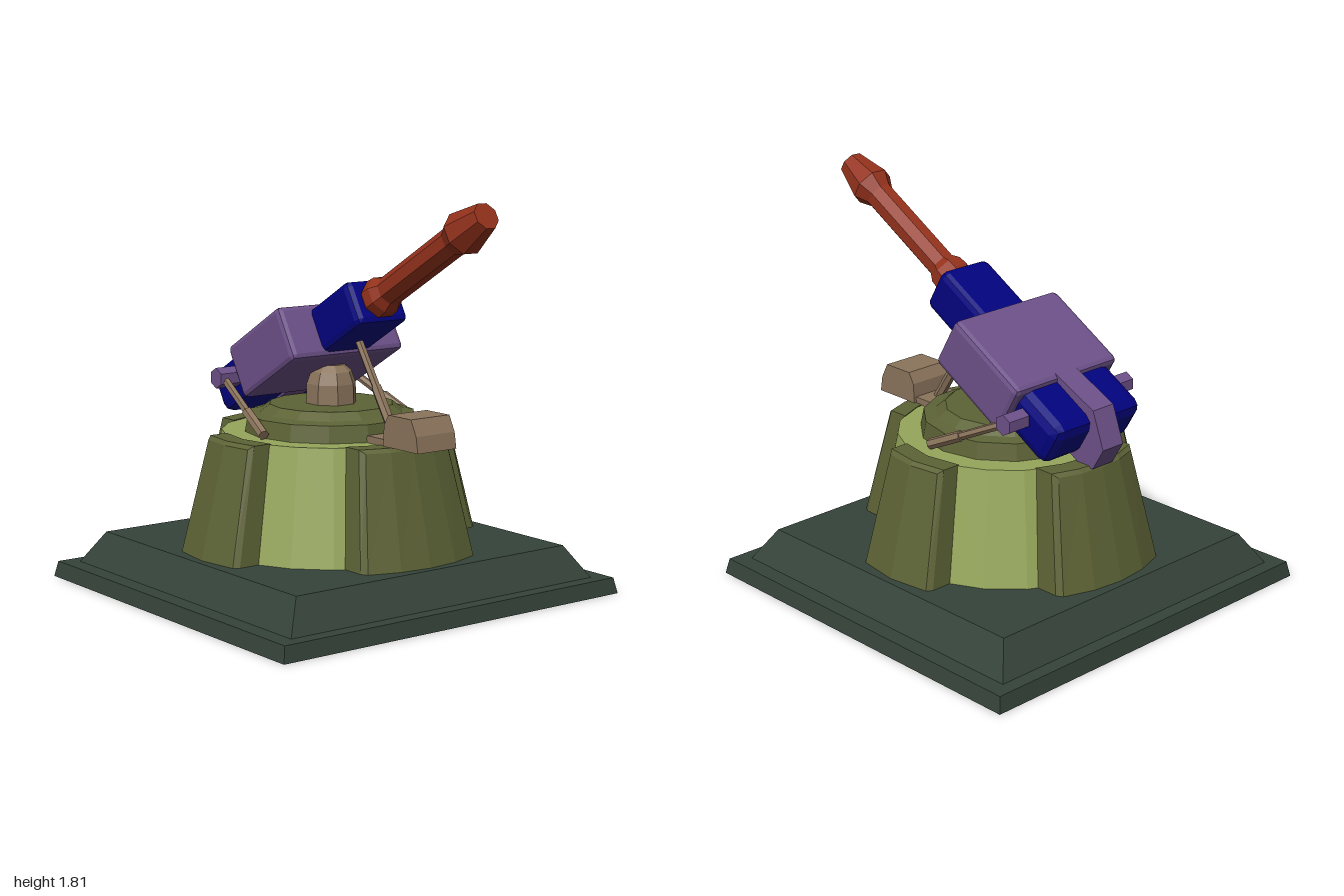
import * as THREE from 'three';
import { RoundedBoxGeometry } from 'three/addons/geometries/RoundedBoxGeometry.js';

const mat = (name, color) => Object.assign(new THREE.MeshStandardMaterial({ color }), { name });
const CX = -0.08; // centre of the base and tower

// Faceted normals baked into the geometry
function flat(geo) {
  const g = geo.index ? geo.toNonIndexed() : geo;
  g.computeVertexNormals();
  return g;
}

// Move every vertex of a geometry by a rule
function reshape(geo, rule) {
  const p = geo.attributes.position, v = new THREE.Vector3();
  for (let i = 0; i < p.count; i++) {
    rule(v.fromBufferAttribute(p, i));
    p.setXYZ(i, v.x, v.y, v.z);
  }
  return geo;
}

// Rectangular slab, open below, tapering from bottom to top half-sizes
function slab(y0, y1, [x0, z0], [x1, z1]) {
  const box = new THREE.BoxGeometry(2, 1, 2);
  box.setIndex([...box.index.array].filter((_, i) => i < 18 || i >= 24));
  return reshape(box, (v) => {
    const top = v.y > 0;
    v.set(v.x * (top ? x1 : x0), top ? y1 : y0, v.z * (top ? z1 : z0));
  });
}

// Thick curved armour plate with straight sides and a bevelled outer edge
const armour = (angle, halfBottom, halfTop, segments) =>
  reshape(new THREE.BoxGeometry(2, 1, 2, segments, 1, 2), (v) => {
    const top = v.y > 0, layer = Math.round(v.z) + 1; // inner, shoulder, outer
    const r = (top ? [0.49, 0.575, 0.592] : [0.57, 0.698, 0.718])[layer];
    const half = (top ? halfTop : halfBottom) - (layer === 2 ? 0.017 : 0);
    const a = angle + v.x * Math.asin(half / r);
    v.set(Math.sin(a) * r, top ? (layer === 2 ? 0.72 : 0.737) : 0.215, Math.cos(a) * r);
  });

const lathe = (pts, sides, phase = 0) =>
  new THREE.LatheGeometry(pts.map(([x, y]) => new THREE.Vector2(x, y)), sides, phase);

// Side profile extruded evenly to both sides of z = 0
function profile(pts, width) {
  const shape = new THREE.Shape(pts.map(([x, y]) => new THREE.Vector2(x, y)));
  return new THREE.ExtrudeGeometry(shape, { depth: width, bevelEnabled: false }).translate(0, 0, -width / 2);
}

// Straight rod between two points
function rod(a, b, radius, sides = 6) {
  const from = new THREE.Vector3(...a), to = new THREE.Vector3(...b);
  const dir = to.clone().sub(from);
  const q = new THREE.Quaternion().setFromUnitVectors(new THREE.Vector3(0, 1, 0), dir.clone().normalize());
  return new THREE.CylinderGeometry(radius, radius, dir.length(), sides)
    .applyQuaternion(q).translate(...from.add(to).multiplyScalar(0.5).toArray());
}

// Chamfered block given by its extents
const block = (x0, x1, y0, y1, halfZ, bevel) =>
  new RoundedBoxGeometry(x1 - x0, y1 - y0, halfZ * 2, 1, bevel).translate((x0 + x1) / 2, (y0 + y1) / 2, 0);

export function createModel() {
  const model = new THREE.Group();
  model.name = 'gunTurret';
  const baseGreen = mat('dark base green', 0x35433a);
  baseGreen.side = THREE.DoubleSide;
  const lightGreen = mat('light green', 0x95a65b);
  const olive = mat('olive', 0x5d6336);
  const tan = mat('tan', 0x8b745c);
  const purple = mat('purple', 0x6d5189);
  const blue = mat('navy blue', 0x020280);
  const red = mat('rust red', 0x94321c);

  const add = (parent, name, geo, material, x = 0) => {
    const m = new THREE.Mesh(flat(geo), material);
    m.name = name;
    m.position.x = x;
    parent.add(m);
  };

  // Square foundation, hollow under the lip
  add(model, 'baseLip', slab(0, 0.072, [0.92, 0.936], [0.905, 0.921]), baseGreen, CX);
  add(model, 'baseSlope', slab(0.072, 0.218, [0.84, 0.842], [0.75, 0.75]), baseGreen, CX);

  // Conical tower with four armour plates
  add(model, 'tower', lathe([[0.61, 0.21], [0.5, 0.733], [0, 0.733]], 20), lightGreen, CX);
  for (let i = 0; i < 4; i++) {
    const size = i % 2 ? [0.315, 0.245, 4] : [0.218, 0.17, 2];
    add(model, 'armourPlate' + (i + 1), armour(i * Math.PI / 2, ...size), olive, CX);
  }

  // Turntable and pedestal
  add(model, 'turntable',
    lathe([[0.4, 0.73], [0.385, 0.81], [0.33, 0.82], [0.285, 0.855], [0, 0.855]], 14), olive, CX);
  add(model, 'pedestal',
    lathe([[0.118, 0.85], [0.115, 0.945], [0.095, 1.0], [0.06, 1.03], [0, 1.03]], 8, Math.PI / 8), tan, CX);

  // Elevated gun, built along x and tilted up
  const gun = new THREE.Group();
  gun.name = 'gun';
  gun.position.set(-0.195, 1.09, 0);
  gun.rotation.z = Math.PI / 6;
  model.add(gun);
  add(gun, 'gunHousing', block(-0.232, 0.226, -0.126, 0.133, 0.313, 0.025), purple);
  add(gun, 'barrelMount', block(0.15, 0.525, -0.107, 0.107, 0.14, 0.03), blue);
  add(gun, 'breech', block(-0.485, -0.15, -0.105, 0.11, 0.268, 0.05), blue);
  add(gun, 'breechSpine', profile([[-0.2, -0.115], [-0.515, -0.115], [-0.593, -0.077],
    [-0.593, 0.042], [-0.456, 0.155], [-0.2, 0.135]].reverse(), 0.125), purple);
  add(gun, 'barrel', lathe([[0, 0.5], [0.075, 0.5], [0.094, 0.54], [0.09, 0.585], [0.068, 0.625], [0.068, 1.12],
    [0.1, 1.185], [0.062, 1.35], [0, 1.35]], 8, Math.PI / 8).rotateZ(-Math.PI / 2), red);

  // Trunnions and rear struts on both sides
  for (const s of [1, -1]) {
    const side = s > 0 ? 'front' : 'back';
    add(model, side + 'Trunnion', rod([-0.445, 0.955, s * 0.25], [-0.445, 0.955, s * 0.385], 0.048), purple);
    add(model, side + 'StrutRod', rod([-0.44, 0.955, s * 0.345], [-0.16, 0.82, s * 0.395], 0.019), tan);
    add(model, side + 'StrutSleeve', rod([-0.19, 0.835, s * 0.39], [-0.02, 0.755, s * 0.42], 0.025), tan);
  }

  // Forward strut and its anchor box
  add(model, 'forwardStrutRod', rod([0.11, 1.18, 0], [0.27, 0.935, 0], 0.019), tan);
  add(model, 'forwardStrutSleeve', rod([0.25, 0.965, 0], [0.39, 0.75, 0], 0.024), tan);
  add(model, 'anchorPlate', profile([[0.29, 0.73], [0.46, 0.73], [0.46, 0.765], [0.31, 0.765]], 0.19), tan);
  add(model, 'anchorBox',
    profile([[0.435, 0.738], [0.672, 0.738], [0.66, 0.81], [0.624, 0.88], [0.47, 0.88], [0.44, 0.83]], 0.215), tan);
  return model;
}
